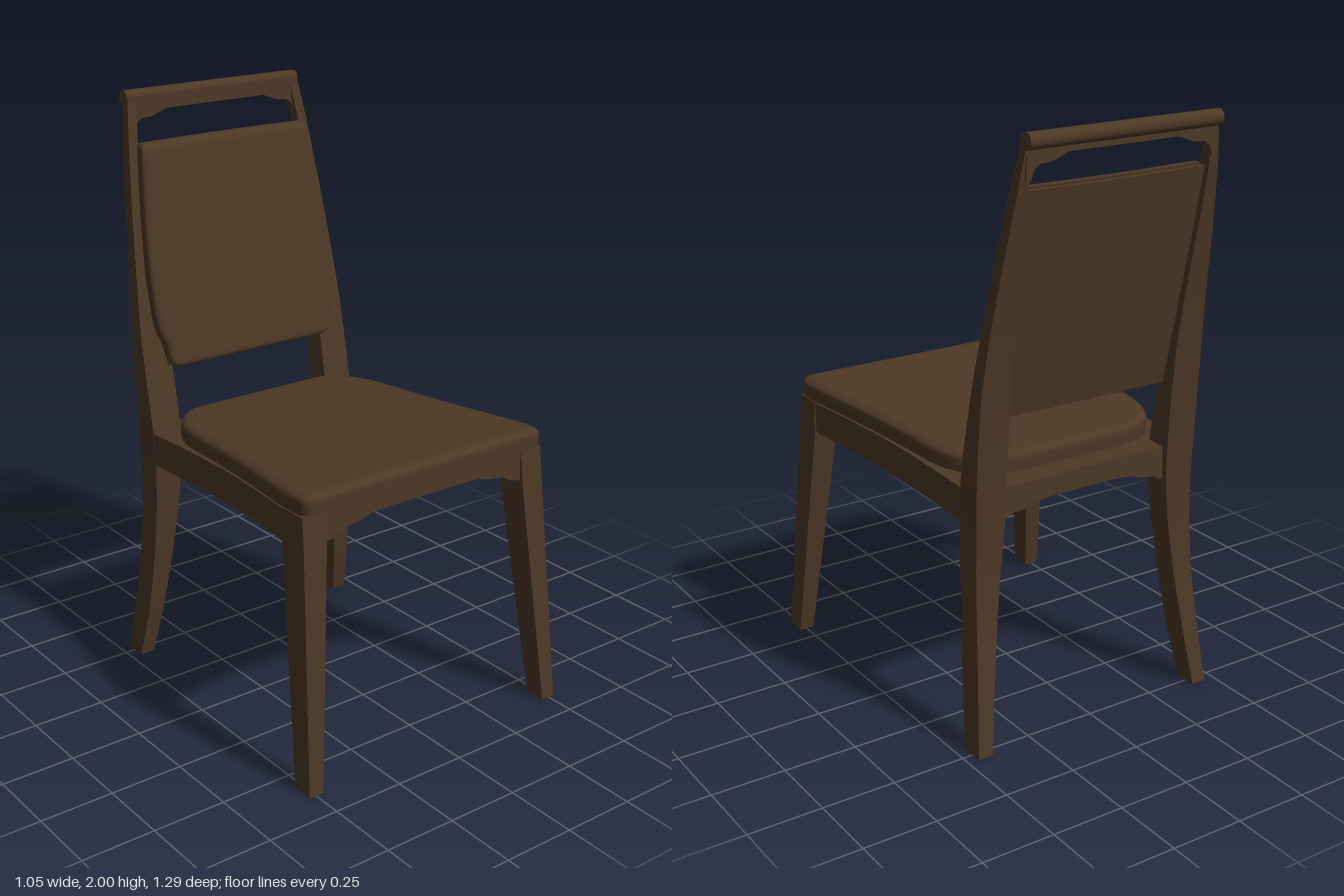
import * as THREE from 'three';
import { mergeVertices } from 'three/addons/utils/BufferGeometryUtils.js';

const wood = new THREE.MeshStandardMaterial({ color: 0x4c3825 });
wood.name = 'dark brown wood';

// Piecewise-linear lookup: rows sorted by their first entry.
function lookup(rows, t, k = 1) {
  if (t <= rows[0][0]) return rows[0][k];
  for (let i = 1; i < rows.length; i++) {
    const a = rows[i - 1], b = rows[i];
    if (t <= b[0]) return a[k] + (b[k] - a[k]) * (t - a[0]) / (b[0] - a[0]);
  }
  return rows[rows.length - 1][k];
}

// Move every vertex of a -1..1 box by a rule (u, v, w) -> [x, y, z].
function bentBox(nx, ny, nz, rule, smooth = false) {
  let geo = new THREE.BoxGeometry(2, 2, 2, nx, ny, nz);
  if (smooth) {
    geo.deleteAttribute('uv');
    geo.deleteAttribute('normal');
    geo = mergeVertices(geo, 1e-4);
  }
  const p = geo.attributes.position;
  for (let i = 0; i < p.count; i++) p.setXYZ(i, ...rule(p.getX(i), p.getY(i), p.getZ(i)));
  geo.computeVertexNormals();
  return geo;
}

// Upright leg from rows of [y, xInner, xOuter, zBack, zFront].
function legGeometry(rows, side, steps) {
  const y0 = rows[0][0], y1 = rows[rows.length - 1][0];
  return bentBox(1, steps, 1, (u, v, w) => {
    const y = y0 + (y1 - y0) * (v + 1) / 2;
    const [a, b, c, d] = [1, 2, 3, 4].map(k => lookup(rows, y, k));
    return [side * (a + b) / 2 + u * (b - a) / 2, y, (c + d) / 2 + w * (d - c) / 2];
  });
}

// Rounded fall-off toward a cushion's border.
function roundOff(dist, r) {
  const e = Math.min(1, Math.max(0, dist / r));
  return 0.35 + 0.65 * Math.sqrt(1 - (1 - e) ** 2);
}
const ease = t => Math.sin(t * Math.PI / 2);

// Board with a straight top and a scalloped lower edge; half gives [x, y] from the centre out.
function scallopedBoard(half, top, depth) {
  const last = half[half.length - 1];
  const shape = new THREE.Shape();
  shape.moveTo(-last[0], top);
  for (const [x, y] of [...half].reverse()) shape.lineTo(-x, y);
  for (const [x, y] of half) shape.lineTo(x, y);
  shape.lineTo(last[0], top);
  shape.closePath();
  return new THREE.ExtrudeGeometry(shape, { depth, bevelEnabled: false });
}

// The seat frame slopes gently down to the back.
const frameTop = z => 0.87 + (z + 0.38) * 0.044;
const frameHalfWidth = [[-0.45, 0.423], [-0.1, 0.425], [0.1, 0.437], [0.3, 0.461], [0.46, 0.486], [0.56, 0.487]];

export function createModel() {
  const chair = new THREE.Group();
  chair.name = 'chair';
  const add = (name, geo) => {
    const mesh = new THREE.Mesh(geo, wood);
    mesh.name = name;
    chair.add(mesh);
    return mesh;
  };

  // Legs and back posts, mirrored
  const frontLeg = [
    [0, 0.472, 0.525, 0.57, 0.645],
    [0.8, 0.403, 0.49, 0.46, 0.571],
    [0.911, 0.4, 0.487, 0.46, 0.56],
  ];
  const rearLeg = [
    [0, 0.41, 0.463, -0.537, -0.455],
    [0.2, 0.383, 0.445, -0.507, -0.415],
    [0.4, 0.357, 0.431, -0.481, -0.39],
    [0.6, 0.333, 0.424, -0.467, -0.375],
    [0.76, 0.317, 0.423, -0.468, -0.37],
    [0.88, 0.315, 0.425, -0.474, -0.38],
    [1.0, 0.315, 0.425, -0.481, -0.402],
    [1.2, 0.316, 0.422, -0.498, -0.442],
    [1.4, 0.322, 0.408, -0.527, -0.48],
    [1.6, 0.328, 0.391, -0.565, -0.52],
    [1.83, 0.332, 0.367, -0.607, -0.565],
    [1.96, 0.315, 0.35, -0.622, -0.592],
  ];
  for (const [side, label] of [[1, 'left'], [-1, 'right']]) {
    add(label + 'FrontLeg', legGeometry(frontLeg, side, 8));
    add(label + 'RearLegAndPost', legGeometry(rearLeg, side, 48));
  }

  // Solid seat frame, its scalloped underside swept from front to back;
  // rows are [fraction of half width, depth at front, depth at back]
  const scallop = [
    [0.28, 0.051, 0.069], [0.45, 0.053, 0.075], [0.54, 0.068, 0.09],
    [0.66, 0.073, 0.094], [0.74, 0.096, 0.114], [0.84, 0.106, 0.115],
  ];
  add('seatFrame', bentBox(64, 1, 16, (u, v, w) => {
    const z = 0.054 + w * 0.504, f = Math.abs(u);
    const front = lookup(scallop, f, 1), back = lookup(scallop, f, 2);
    const depth = v > 0 ? 0 : back + (front - back) * (w + 1) / 2;
    return [u * lookup(frameHalfWidth, z), frameTop(z) - depth, z];
  }));

  // Seat cushion
  const seatWidth = [
    [-0.38, 0.2], [-0.372, 0.25], [-0.355, 0.3], [-0.33, 0.338], [-0.29, 0.37], [-0.24, 0.393], [-0.17, 0.409],
    [0, 0.422], [0.15, 0.438], [0.3, 0.459], [0.42, 0.478], [0.51, 0.487], [0.55, 0.483], [0.567, 0.472], [0.574, 0.455],
  ];
  add('seatCushion', bentBox(28, 2, 44, (u, v, w) => {
    const z = 0.097 + ease(w) * 0.477, half = lookup(seatWidth, z), x = ease(u) * half;
    const edge = roundOff(half - Math.abs(x), 0.035) * roundOff(0.477 * (1 - Math.abs(ease(w))), 0.035);
    const height = v > 0 ? 0.034 * edge : 0.03;
    return [x, frameTop(z) + 0.034 + v * height, z];
  }, true));

  // Back cushion and the panel behind it, leaning back and hollower toward the top
  const backWidth = [
    [1.086, 0.315], [1.097, 0.33], [1.12, 0.338], [1.17, 0.345], [1.2, 0.362], [1.25, 0.371],
    [1.4, 0.374], [1.6, 0.361], [1.75, 0.345], [1.82, 0.337], [1.83, 0.33],
  ];
  const lean = (x, y) => {
    const h = (y - 1.09) / 0.74;
    return -0.4 - h * 0.145 - (0.003 + 0.013 * h) * (1 - (x / 0.37) ** 2);
  };
  add('backCushion', bentBox(28, 40, 2, (u, v, w) => {
    const y = 1.458 + ease(v) * 0.372, half = lookup(backWidth, y), x = ease(u) * half;
    const edge = roundOff(half - Math.abs(x), 0.025) * roundOff(0.372 * (1 - Math.abs(ease(v))), 0.025);
    return [x, y, lean(x, y) + w * (w > 0 ? 0.024 * edge : 0.018)];
  }, true));
  add('backPanel', bentBox(16, 8, 1, (u, v, w) => {
    const y = 1.457 + v * 0.366, x = u * 0.333;
    return [x, y, lean(x, y) - 0.026 + w * 0.014];
  }));

  // Top rail with a rolled upper edge
  const topRail = add('topRail', scallopedBoard(
    [[0.2, 1.93], [0.23, 1.918], [0.26, 1.908], [0.3, 1.905], [0.32, 1.89], [0.33, 1.86], [0.347, 1.86]], 1.98, 0.028,
  ));
  topRail.position.z = -0.62;
  const roll = add('topRoll', new THREE.CylinderGeometry(0.026, 0.026, 0.7, 20));
  roll.rotation.z = Math.PI / 2;
  roll.position.set(0, 1.974, -0.621);

  return chair;
}
